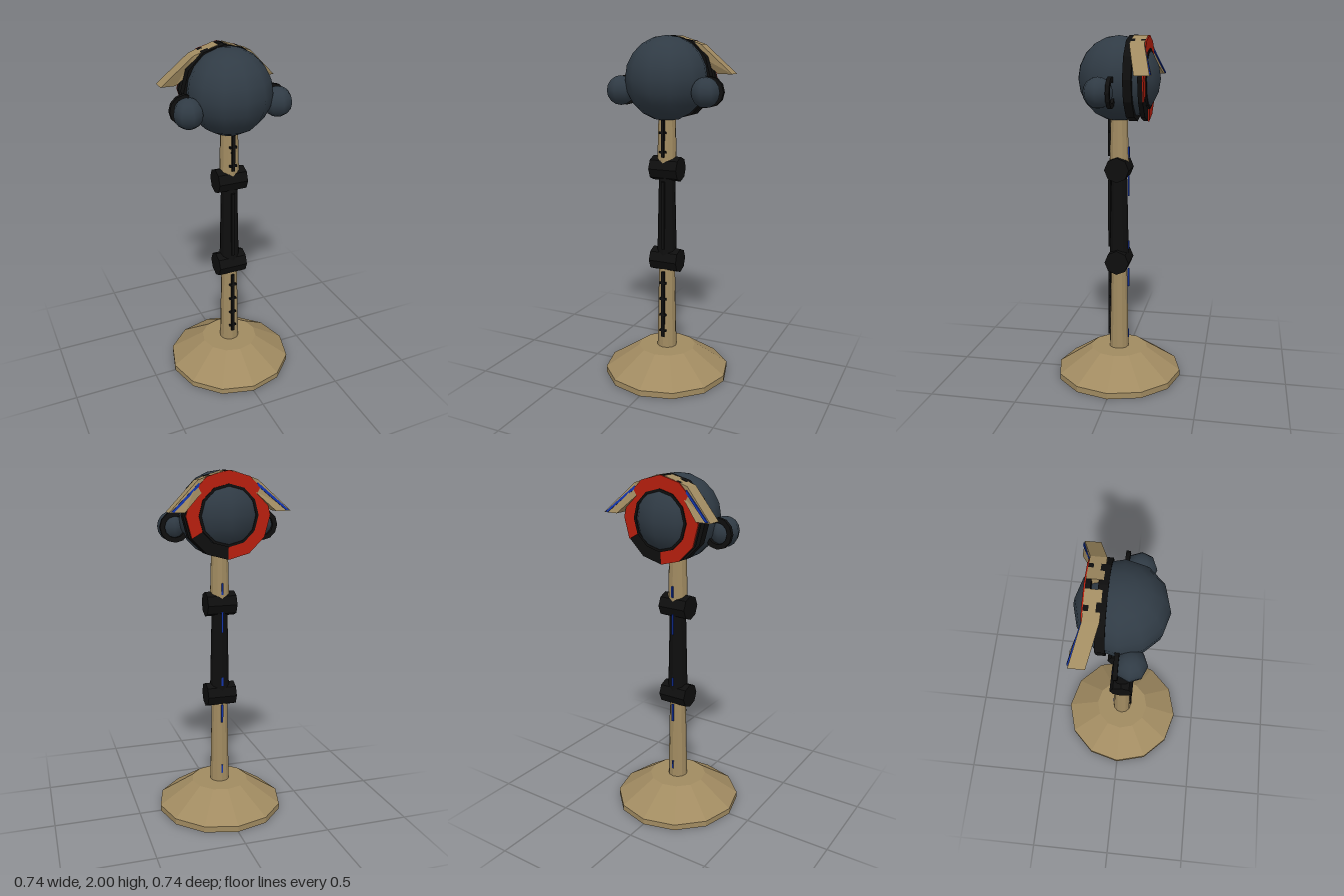
import * as THREE from 'three';

const mat = (name, color) => {
  const m = new THREE.MeshStandardMaterial({ color });
  m.name = name;
  return m;
};

// Faceted normals
function flat(geo) {
  const g = geo.index ? geo.toNonIndexed() : geo;
  g.computeVertexNormals();
  return g;
}

// Solid lofted along x; each station is [xTop, yTop, xBottom, yBottom, zFront, zBack]
function loft(stations, side) {
  let rows = stations.map(([xt, yt, xb, yb, zf, zb]) => [
    [xt * side, yt, zf], [xt * side, yt, zb], [xb * side, yb, zb], [xb * side, yb, zf],
  ]);
  if (side < 0) rows = rows.reverse();
  const pos = [];
  const quad = (a, b, c, d) => [a, b, c, a, c, d].forEach((p) => pos.push(...p));
  for (let i = 0; i < rows.length - 1; i++) {
    for (let k = 0; k < 4; k++) {
      const n = (k + 1) % 4;
      quad(rows[i][k], rows[i + 1][k], rows[i + 1][n], rows[i][n]);
    }
  }
  const [a, b, c, d] = rows[0];
  quad(a, b, c, d);
  const [e, f, g, h] = rows[rows.length - 1];
  quad(h, g, f, e);
  const geo = new THREE.BufferGeometry();
  geo.setAttribute('position', new THREE.Float32BufferAttribute(pos, 3));
  return flat(geo);
}

// Polygonal ring or arc facing z, between z0 and z1
function ring(inner, outer, startDeg, steps, stepDeg, z0, z1) {
  const pts = [];
  const add = (r, i) => {
    const a = THREE.MathUtils.degToRad(startDeg + i * stepDeg);
    pts.push(new THREE.Vector2(r * Math.cos(a), r * Math.sin(a)));
  };
  for (let i = 0; i <= steps; i++) add(outer, i);
  for (let i = steps; i >= 0; i--) add(inner, i);
  const geo = new THREE.ExtrudeGeometry(new THREE.Shape(pts), { depth: z1 - z0, bevelEnabled: false });
  return flat(geo.translate(0, 0, z0));
}

export function createModel() {
  const model = new THREE.Group();
  model.name = 'standingRobot';
  const tan = mat('tan', 0xa18b61);
  const slate = mat('slate', 0x303b45);
  const black = mat('black', 0x0e0e0e);
  const red = mat('red', 0xb81f0e);
  const blue = mat('blue', 0x1233a8);

  const add = (name, geo, material, x = 0, y = 0, z = 0) => {
    const m = new THREE.Mesh(geo, material);
    m.name = name;
    m.position.set(x, y, z);
    model.add(m);
    return m;
  };
  const box = (name, w, y0, y1, d, material, z) =>
    add(name, new THREE.BoxGeometry(w, y1 - y0, d), material, 0, (y0 + y1) / 2, z);

  // Twelve-sided foot
  const foot = [[0, 0], [0.372, 0], [0.372, 0.035], [0.17, 0.17], [0, 0.17]];
  add('base', flat(new THREE.LatheGeometry(foot.map((p) => new THREE.Vector2(...p)), 12)), tan);

  // Pole segments
  const pole = (name, y0, y1, r0, r1, material) =>
    add(name, flat(new THREE.CylinderGeometry(r1, r0, y1 - y0, 12)), material, 0, (y0 + y1) / 2, 0);
  pole('lowerPole', 0.16, 0.7, 0.058, 0.047, tan);
  pole('middlePole', 0.72, 1.25, 0.058, 0.046, black);
  pole('upperPole', 1.26, 1.6, 0.057, 0.048, tan);

  // Octagonal hinge joints
  for (const [name, y] of [['lowerJoint', 0.715], ['upperJoint', 1.26]]) {
    add(name, flat(new THREE.CylinderGeometry(0.071, 0.071, 0.172, 8).rotateZ(Math.PI / 2)), black, 0, y, 0);
  }

  // Front cable strips with cross ticks
  box('lowerStrip', 0.018, 0.24, 0.65, 0.014, black, 0.057);
  box('middleStrip', 0.018, 0.79, 1.19, 0.014, black, 0.057);
  box('upperStrip', 0.018, 1.33, 1.54, 0.014, black, 0.057);
  for (const y of [0.28, 0.38, 0.48, 0.58, 1.36, 1.47]) {
    box('stripTick', 0.042, y - 0.006, y + 0.006, 0.012, black, 0.056);
  }

  // Blue light dashes on the back
  for (const [y0, y1] of [[0.225, 0.276], [0.55, 0.66], [0.78, 0.83], [1.1, 1.22], [1.32, 1.385]]) {
    box('backLight', 0.01, y0, y1, 0.009, blue, -0.056);
  }

  // Head
  const headY = 1.767;
  add('head', new THREE.SphereGeometry(0.235, 12, 10), slate, 0, headY, 0);
  add('headBand', flat(new THREE.CylinderGeometry(0.236, 0.236, 0.047, 12).rotateX(Math.PI / 2)),
    black, 0, headY, -0.083);

  // Rear eye rim: black ring, red arc with a gap, thin inner trim
  add('eyeRing', ring(0.15, 0.235, 0, 12, 30, -0.165, -0.14), black, 0, headY, 0);
  add('eyeRedArc', ring(0.165, 0.235, -30, 10, 30, -0.172, -0.165), red, 0, headY, 0);
  add('eyeTrim', ring(0.152, 0.166, 0, 12, 30, -0.178, -0.165), black, 0, headY, 0);

  for (const side of [1, -1]) {
    const label = side > 0 ? 'left' : 'right';
    // Ear pods and their rings
    add(label + 'Ear', new THREE.SphereGeometry(0.083, 8, 8), slate, side * 0.257, 1.7, 0.067);
    add(label + 'EarRing', ring(0.058, 0.085, 0, 12, 30, -0.011, 0.011), black, side * 0.255, 1.7, 0);

    // Bent brow flaps with a blue edge line
    add(label + 'Flap', loft([
      [0.025, 2.0, 0.025, 1.94, -0.085, -0.165],
      [0.165, 1.953, 0.135, 1.9, -0.085, -0.165],
      [0.335, 1.79, 0.25, 1.79, -0.137, -0.219],
    ], side), tan);
    add(label + 'FlapLight', loft([
      [0.162, 1.938, 0.154, 1.926, -0.164, -0.17],
      [0.322, 1.795, 0.307, 1.793, -0.217, -0.224],
    ], side), blue);
  }
  return model;
}
